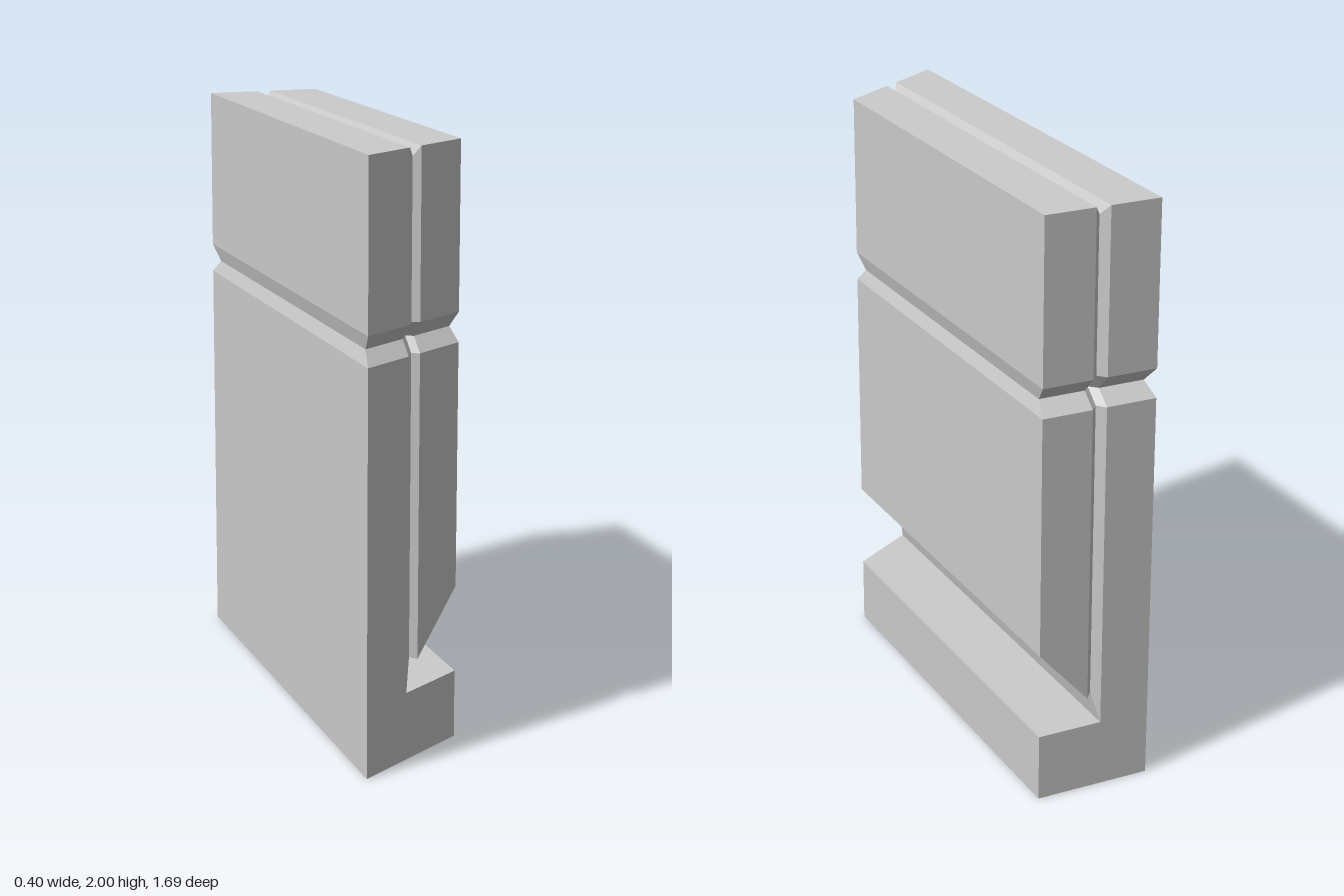
import * as THREE from 'three';

const BACK = -0.845;
// Mitred front: depth falls off from the -x side to the +x side
const frontZ = (x) => 0.845 - 0.6375 * (x + 0.2);

// Each ring is a row of columns [x, y, inset]; a column gives one front and one back point
function ringPoints(columns) {
  const front = columns.map(([x, y, inset = 0]) => [x, y, frontZ(x) - inset]);
  const back = columns.map(([x, y, inset = 0]) => [x, y, BACK + inset]);
  return [...front, ...back.reverse()];
}

// Skin stacked rings, listed bottom to top, and close both ends with strips
function loft(name, rows, material) {
  const rings = rows.map(ringPoints);
  const n = rings[0].length;
  const positions = [];
  const quad = (a, b, c, d) => positions.push(...a, ...b, ...c, ...a, ...c, ...d);
  for (let r = 0; r < rings.length - 1; r++) {
    const lo = rings[r], hi = rings[r + 1];
    for (let i = 0; i < n; i++) {
      const j = (i + 1) % n;
      quad(lo[i], lo[j], hi[j], hi[i]);
    }
  }
  const bottom = rings[0], top = rings[rings.length - 1];
  for (let i = 0; i < n / 2 - 1; i++) {
    quad(top[i], top[i + 1], top[n - 2 - i], top[n - 1 - i]);
    quad(bottom[n - 1 - i], bottom[n - 2 - i], bottom[i + 1], bottom[i]);
  }
  const geometry = new THREE.BufferGeometry();
  geometry.setAttribute('position', new THREE.Float32BufferAttribute(positions, 3));
  geometry.computeVertexNormals();
  const mesh = new THREE.Mesh(geometry, material);
  mesh.name = name;
  return mesh;
}

export function createModel() {
  const group = new THREE.Group();
  group.name = 'groovedWallPanel';
  const material = new THREE.MeshStandardMaterial({ color: 0xcccccc, flatShading: true });

  const SEAM = 0.025; // half width of the vertical V seam
  const DIP = 0.028; // depth of the seam

  // Level row across the two slabs, optionally pinched in for the horizontal groove
  const row = (y, pinchX = 0, pinchZ = 0, seamY = y) => [
    [-0.2 + pinchX, y, pinchZ],
    [-SEAM, y, pinchZ],
    [0, seamY, pinchZ + DIP],
    [SEAM, y, pinchZ],
    [0.2 - pinchX, y, pinchZ],
  ];

  // Foot under the whole panel
  group.add(loft('foot', [
    [[-0.2, 0], [0.2, 0]],
    [[-0.2, 0.23], [0.2, 0.23]],
  ], material));

  // Twin slabs: one stands on the foot, the other hangs with a sloped underside
  group.add(loft('slabs', [
    [[-0.2, 0.23], [-SEAM, 0.23], [0, 0.335, DIP], [SEAM, 0.33], [0.2, 0.525]],
    row(1.345),
    row(1.39, 0.015, 0.055),
    row(1.445),
    row(2, 0, 0, 1.967),
  ], material));

  return group;
}
